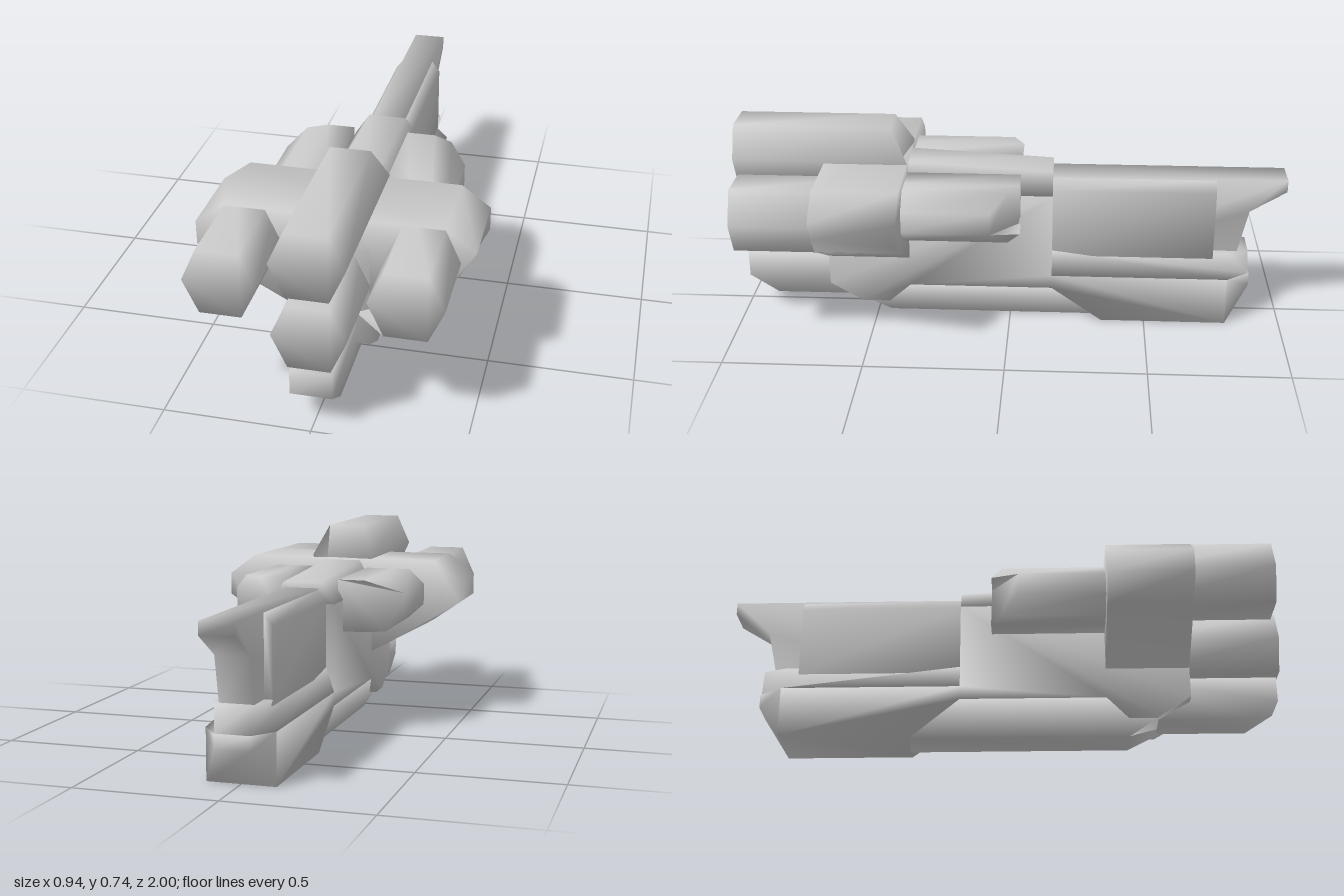
import * as THREE from 'three';
import { mergeVertices } from 'three/addons/utils/BufferGeometryUtils.js';

const material = new THREE.MeshStandardMaterial({ color: 0xcccccc });
const sheetMaterial = new THREE.MeshStandardMaterial({ color: 0xcccccc, side: THREE.DoubleSide });

// Weld corners so the shading runs smoothly over them, after moving vertices by a rule
function finish(name, geometry, rule) {
  const p = geometry.attributes.position;
  const v = new THREE.Vector3();
  if (rule) {
    for (let i = 0; i < p.count; i++) {
      v.fromBufferAttribute(p, i);
      rule(v);
      p.setXYZ(i, v.x, v.y, v.z);
    }
  }
  geometry.deleteAttribute('uv');
  geometry.deleteAttribute('normal');
  const welded = mergeVertices(geometry, 1e-4);
  welded.computeVertexNormals();
  const mesh = new THREE.Mesh(welded, material);
  mesh.name = name;
  return mesh;
}

const shapeOf = (points) => new THREE.Shape(points.map(([a, b]) => new THREE.Vector2(a, b)));

// Section given as [x, y], running from z0 to z1
function alongZ(name, points, z0, z1, rule) {
  const g = new THREE.ExtrudeGeometry(shapeOf(points), { depth: z1 - z0, bevelEnabled: false });
  return finish(name, g.translate(0, 0, z0), rule);
}

// Side outline given as [z, y], centred on x = 0
function acrossX(name, points, halfWidth, rule) {
  const g = new THREE.ExtrudeGeometry(shapeOf(points), { depth: 2 * halfWidth, bevelEnabled: false });
  return finish(name, g.rotateY(-Math.PI / 2).translate(halfWidth, 0, 0), rule);
}

function hexagon(cx, y0, y1) {
  const mid = (y0 + y1) / 2;
  return [[-0.122, mid], [-0.07, y0], [0.07, y0], [0.122, mid], [0.07, y1], [-0.07, y1]]
    .map(([x, y]) => [cx + x, y]);
}

export function createModel() {
  const model = new THREE.Group();
  model.name = 'ship';

  // Main hull with a notch under the middle and a tapered stern
  model.add(acrossX('hull', [
    [0.67, 0.5], [0.67, 0.13], [0.55, 0.06], [0.45, 0.06], [0.37, 0.13], [-0.155, 0.13],
    [-0.34, 0], [-0.8, 0], [-0.8, 0.18], [-0.155, 0.18], [-0.155, 0.5],
  ], 0.12));
  model.add(acrossX('stern', [[-0.8, 0], [-0.885, 0.13], [-0.885, 0.18], [-0.8, 0.18]], 0.12,
    (v) => { if (v.z < -0.85) v.x *= 0.5; }));

  // Chamfered roof, falling slightly toward the back
  model.add(alongZ('roof', [[-0.12, 0.5], [0.12, 0.5], [0.07, 0.61], [-0.07, 0.61]], -0.155, 0.5,
    (v) => { if (v.z < 0 && v.y > 0.55) v.y = 0.575; }));

  // Keel with sides leaning inward below the notch
  model.add(acrossX('keel', [[0.67, 0.13], [0.45, 0], [-0.34, 0], [-0.155, 0.13]], 0.12,
    (v) => { if (v.y < 0.01) v.x *= 0.58; }));

  // Sloping deck on the rear hull
  model.add(acrossX('rearDeck', [
    [-0.155, 0.18], [-0.8, 0.18], [-0.88, 0.18], [-0.875, 0.27], [-0.8, 0.27], [-0.155, 0.27],
  ], 0.12, (v) => {
    if (v.z < -0.85) v.x *= 0.5;
    else if (v.y > 0.2) v.x *= 0.75;
  }));

  // Rear fin, its ridge and the overhanging tip
  model.add(alongZ('fin', [
    [-0.09, 0.25], [0.09, 0.25], [0.09, 0.51], [0.06, 0.55], [-0.06, 0.55], [-0.09, 0.51],
  ], -0.745, -0.15));
  model.add(acrossX('tailRidge', [
    [-0.15, 0.555], [-0.15, 0.2], [-0.835, 0.2], [-0.835, 0.27], [-0.87, 0.43], [-1, 0.51], [-1, 0.555],
  ], 0.06));

  // Broad cross block; the lower front corner on the left is pushed in
  const half = [[0.37, 0.61], [0.47, 0.535], [0.47, 0.45], [0.37, 0.38], [0.12, 0.242]];
  const mirrored = half.map(([x, y]) => [-x, y]).reverse();
  model.add(alongZ('crossBlock', [...half, ...mirrored], 0.37, 0.67, (v) => {
    if (v.x > 0.46 && v.y < 0.5 && v.z > 0.5) v.x = 0.42;
  }));

  // Centre pods and the bow block
  model.add(alongZ('upperPod', hexagon(0, 0.505, 0.735), 0.37, 1,
    (v) => { if (v.z < 0.5 && v.y > 0.7) v.z = 0.43; }));
  model.add(alongZ('lowerPod', hexagon(0, 0.245, 0.475), 0.5, 1));
  model.add(acrossX('bow', [
    [0.985, 0.222], [0.985, 0.13], [0.88, 0.062], [0.45, 0.062], [0.45, 0.222],
  ], 0.07));

  // Side pods and the nacelles behind the cross block
  for (const [side, s] of [['left', 1], ['right', -1]]) {
    model.add(alongZ(side + 'Pod', hexagon(s * 0.298, 0.378, 0.608), 0.5, 0.955));
    const section = [
      [0.1, 0.385], [0.2, 0.385], [0.27, 0.385], [0.33, 0.44],
      [0.33, 0.52], [0.27, 0.575], [0.2, 0.575], [0.1, 0.575],
    ].map(([x, y]) => [s * x, y]);
    model.add(alongZ(side + 'Nacelle', section, -0.04, 0.4, (v) => {
      const x = Math.abs(v.x);
      if (v.z < 0) v.z = x > 0.3 ? 0.06 : x > 0.25 ? 0 : -0.04;
    }));
  }

  // Thin plate from the left pod down to the hull
  const plate = new THREE.BufferGeometry();
  plate.setAttribute('position', new THREE.Float32BufferAttribute([
    0.228, 0.378, 0.955, 0.368, 0.378, 0.955, 0.368, 0.378, 0.67, 0.075, 0.26, 0.68,
  ], 3));
  plate.setIndex([0, 3, 1, 1, 3, 2]);
  plate.computeVertexNormals();
  const plateMesh = new THREE.Mesh(plate, sheetMaterial);
  plateMesh.name = 'podPlate';
  model.add(plateMesh);

  return model;
}
